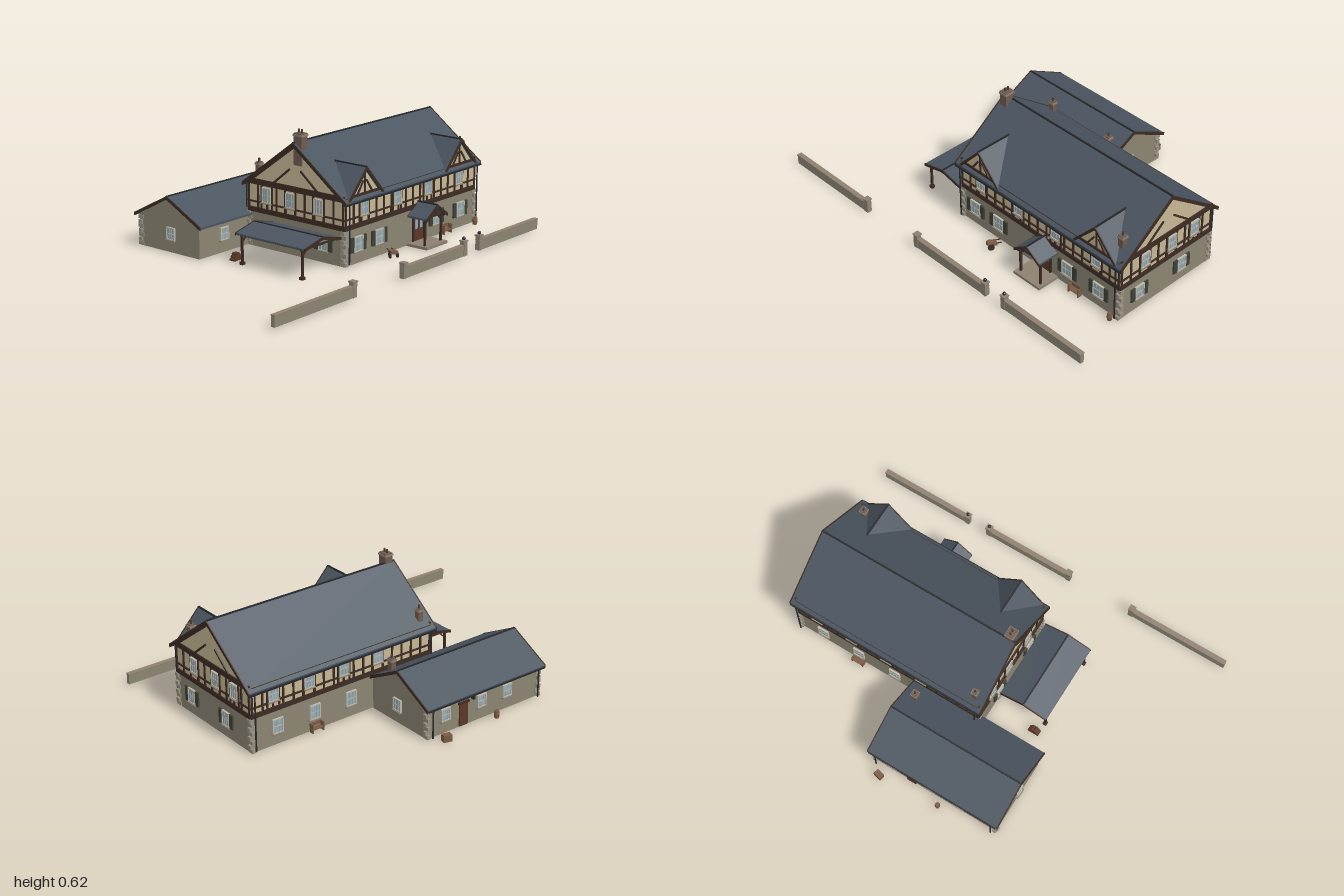
import * as THREE from 'three';

const mat = (color, extra = {}) => new THREE.MeshStandardMaterial({ color, flatShading: true, ...extra });
const M = {
  stone: mat(0x8b8473), quoin: mat(0x969080), plaster: mat(0xc6b795), timber: mat(0x3d2c24),
  roof: mat(0x4b5560), dark: mat(0x26282c), glass: mat(0x8fa9b8), frame: mat(0xbdb8a8),
  shutter: mat(0x3e4036), brick: mat(0x6e5b50), cap: mat(0x8f8070), door: mat(0x5a3828),
  wood: mat(0x7a5a42), floor: mat(0x3a2c22), slab: mat(0x4a4a48), clay: mat(0x4a3a34),
};

function add(parent, name, geo, material, x = 0, y = 0, z = 0) {
  const m = new THREE.Mesh(geo, material);
  m.name = name;
  m.position.set(x, y, z);
  parent.add(m);
  return m;
}
const box = (p, name, m, w, h, d, x, y, z) => add(p, name, new THREE.BoxGeometry(w, h, d), m, x, y, z);
const cyl = (p, name, m, r, h, x, y, z, n = 8) => add(p, name, new THREE.CylinderGeometry(r, r, h, n), m, x, y, z);
function group(parent, name, x = 0, y = 0, z = 0, ry = 0) {
  const g = new THREE.Group();
  g.name = name;
  g.position.set(x, y, z);
  g.rotation.y = ry;
  parent.add(g);
  return g;
}

// Prism along local z, centred, from a list of [x, y] points
function prism(p, name, m, pts, len, z = 0) {
  const shape = new THREE.Shape(pts.map(([x, y]) => new THREE.Vector2(x, y)));
  const geo = new THREE.ExtrudeGeometry(shape, { depth: len, bevelEnabled: false });
  return add(p, name, geo, m, 0, 0, z - len / 2);
}

// Gabled roof with dark verge boards and ridge, running along local z
function gableRoof(p, name, half, apex, eave, len, t = 0.014, verge = 0.006, frontOnly = false) {
  const chevron = (h, a, e, th) => [[-h, e], [0, a], [h, e], [h, e - th], [0, a - th], [-h, e - th]];
  const g = group(p, name);
  prism(g, 'slates', M.roof, chevron(half, apex, eave, t), len);
  for (const s of frontOnly ? [1] : [-1, 1])
    prism(g, 'vergeBoard', M.timber, chevron(half + 0.001, apex + 0.002, eave + 0.002, t + 0.006), verge, s * len / 2);
  box(g, 'ridge', M.dark, 0.008, 0.006, len, 0, apex, 0);
  return g;
}

// Wall items: local x along the wall, local +z outwards
function bar(p, u1, y1, u2, y2, w = 0.012) {
  const b = box(p, 'timber', M.timber, Math.hypot(u2 - u1, y2 - y1), w, 0.008, (u1 + u2) / 2, (y1 + y2) / 2, 0.002);
  b.rotation.z = Math.atan2(y2 - y1, u2 - u1);
}
function windowAt(p, u, y, w = 0.052, h = 0.07, shutters = false) {
  const g = group(p, 'window', u, y, 0);
  box(g, 'glass', M.glass, w, h, 0.008, 0, 0, 0.002);
  for (const s of [-1, 1]) {
    box(g, 'jamb', M.frame, 0.005, h + 0.005, 0.014, s * w / 2, 0, 0.003);
    box(g, 'rail', M.frame, w + 0.005, 0.005, 0.014, 0, s * h / 2, 0.003);
    box(g, 'glazingBar', M.frame, 0.002, h, 0.01, s * w / 6, 0, 0.003);
    if (shutters) box(g, 'shutter', M.shutter, 0.024, h + 0.004, 0.01, s * (w / 2 + 0.016), 0, 0.003);
  }
  box(g, 'middleBar', M.frame, w, 0.003, 0.01, 0, 0, 0.003);
  box(g, 'sill', M.cap, w + 0.012, 0.005, 0.02, 0, -h / 2 - 0.004, 0.005);
}

// Half-timbered upper storey for one wall
function timberWall(p, half, windows) {
  bar(p, -half, 0.19, half, 0.19, 0.024);
  bar(p, -half, 0.23, half, 0.23, 0.008);
  bar(p, -half, 0.325, half, 0.325, 0.018);
  const n = Math.round(2 * half / 0.058);
  for (let i = 0; i <= n; i++) {
    const u = -half + 0.006 + (2 * half - 0.012) * i / n;
    const clear = windows.every(w => Math.abs(w - u) > 0.03);
    bar(p, u, 0.19, u, clear ? 0.325 : 0.235, 0.009);
  }
  for (const w of windows) {
    windowAt(p, w, 0.27);
    for (const s of [-1, 1]) bar(p, w + s * 0.033, 0.2, w + s * 0.033, 0.32, 0.008);
  }
}

function quoins(p, x, z, top) {
  for (let i = 0, y = 0.015; y < top - 0.01; y += 0.022, i++)
    box(p, 'quoin', M.quoin, i % 2 ? 0.034 : 0.02, 0.018, i % 2 ? 0.02 : 0.034, x, y, z);
}
function chimney(p, x, z, bottom, top, w, d, pots) {
  const g = group(p, 'chimney', x, 0, z);
  box(g, 'stack', M.brick, w, top - bottom, d, 0, (top + bottom) / 2, 0);
  box(g, 'crown', M.cap, w + 0.006, 0.01, d + 0.006, 0, top - 0.01, 0);
  for (let i = 0; i < pots; i++) cyl(g, 'pot', M.clay, 0.005, 0.02, 0, top + 0.008, (i - (pots - 1) / 2) * 0.018);
}
function bench(p, u) {
  const g = group(p, 'bench', u, 0, 0.02);
  box(g, 'seat', M.wood, 0.07, 0.005, 0.024, 0, 0.024, 0);
  box(g, 'back', M.wood, 0.07, 0.018, 0.004, 0, 0.042, -0.012);
  for (const s of [-1, 1]) box(g, 'leg', M.wood, 0.005, 0.05, 0.024, s * 0.03, 0.027, 0).scale.y = 0.9;
}
function barrel(p, x, z, h = 0.04) {
  const pts = [[0, 0], [0.011, 0], [0.014, h / 2], [0.011, h], [0, h]].map(a => new THREE.Vector2(...a));
  add(p, 'barrel', new THREE.LatheGeometry(pts, 10), M.wood, x, 0.003, z);
}

export function createModel() {
  const root = new THREE.Group();
  root.name = 'timberFramedInn';

  // Main house: stone below, plaster and timber above
  const house = group(root, 'mainHouse', 0.3925, 0, 0.07);
  const HX = 0.5225, HZ = 0.3;
  box(house, 'stoneStorey', M.stone, HX * 2, 0.176, HZ * 2, 0, 0.092, 0);
  box(house, 'floor', M.floor, HX * 2 - 0.04, 0.01, HZ * 2 - 0.04, 0, 0.005, 0);
  const along = group(house, 'upperHouse', 0, 0, 0, Math.PI / 2);
  prism(along, 'plasterStorey', M.plaster, [[-HZ, 0.18], [HZ, 0.18], [HZ, 0.325], [0, 0.549], [-HZ, 0.325]], HX * 2);
  gableRoof(along, 'mainRoof', 0.322, 0.56, 0.32, 1.085);
  for (const sx of [-1, 1]) for (const sz of [-1, 1]) {
    quoins(house, sx * (HX - 0.006), sz * (HZ - 0.006), 0.18);
    cyl(house, 'downpipe', M.dark, 0.004, 0.29, sx * (HX - 0.01), 0.165, sz * 0.322, 6);
  }
  for (const s of [-1, 1]) box(house, 'gutter', M.dark, 1.08, 0.008, 0.01, 0, 0.309, s * 0.324);

  const front = group(house, 'frontWall', 0, 0, HZ);
  const back = group(house, 'backWall', 0, 0, -HZ, Math.PI);
  const sides = [1, -1].map(s => group(house, s > 0 ? 'leftGable' : 'rightGable', s * HX, 0, 0, s * Math.PI / 2));
  timberWall(front, HX, [-0.3825, -0.1275, 0.1175, 0.3775]);
  timberWall(back, HX, [-0.4, -0.2, 0, 0.2]);
  for (const u of [-0.425, -0.265, 0.195, 0.395]) windowAt(front, u, 0.1, 0.062, 0.07, true);
  for (const u of [-0.38, -0.17, 0.04]) windowAt(back, u, 0.1, 0.055);
  bench(front, 0.26);
  bench(back, -0.17);
  sides.forEach((w, i) => {
    const s = i ? -1 : 1;
    timberWall(w, HZ, [-0.145, 0.03, 0.18].map(u => u * s));
    for (const u of [-0.175, 0.105]) windowAt(w, u * s, 0.1, 0.052, 0.07, true);
    // Gable framing
    bar(w, -HZ, 0.335, HZ, 0.335, 0.018);
    for (const k of [-1, 1]) {
      bar(w, k * 0.135, 0.342, k * 0.033, 0.425, 0.009);
      bar(w, k * HZ, 0.322, 0, 0.542, 0.012);
    }
  });

  // Front dormer gables
  for (const x of [0.01, 0.77]) {
    const d = group(root, 'dormer', x, 0, 0.288);
    prism(d, 'dormerGable', M.plaster, [[-0.115, 0.325], [0.115, 0.325], [0, 0.452]], 0.172);
    gableRoof(d, 'dormerRoof', 0.132, 0.466, 0.322, 0.2, 0.012, 0.006, true);
    const face = group(d, 'dormerFraming', 0, 0, 0.086);
    bar(face, -0.11, 0.337, 0.11, 0.337, 0.012);
    bar(face, 0, 0.34, 0, 0.44, 0.008);
    for (const s of [-1, 1]) bar(face, s * 0.055, 0.34, s * 0.012, 0.4, 0.008);
  }

  // Entrance porch
  const porch = group(root, 'porch', 0.4375, 0, 0.428);
  gableRoof(porch, 'porchRoof', 0.082, 0.212, 0.155, 0.12, 0.01, 0.005);
  box(porch, 'step', M.cap, 0.17, 0.014, 0.125, 0, 0.008, 0);
  for (const s of [-1, 1]) {
    box(porch, 'post', M.timber, 0.01, 0.14, 0.01, s * 0.065, 0.08, 0.035);
    box(porch, 'sideBeam', M.timber, 0.01, 0.01, 0.11, s * 0.065, 0.15, 0);
    const brace = box(porch, 'brace', M.timber, 0.04, 0.007, 0.007, s * 0.052, 0.137, 0.035);
    brace.rotation.z = -s * 0.8;
    box(porch, 'doorLeaf', M.door, 0.036, 0.12, 0.008, s * 0.019, 0.075, -0.055);
    box(porch, 'doorPane', M.glass, 0.02, 0.05, 0.01, s * 0.019, 0.1, -0.055);
    box(porch, 'doorJamb', M.timber, 0.007, 0.13, 0.014, s * 0.042, 0.08, -0.055);
  }
  box(porch, 'crossBeam', M.timber, 0.15, 0.01, 0.01, 0, 0.153, 0.035);
  box(porch, 'kingPost', M.timber, 0.008, 0.045, 0.008, 0, 0.178, 0.035);

  // Rear wing
  const wing = group(root, 'rearWing', -0.1275, 0, -0.43);
  const WX = 0.3475, WZ = 0.196;
  const wingAlong = group(wing, 'wingBody', 0, 0, 0, Math.PI / 2);
  prism(wingAlong, 'wingWalls', M.stone, [[-WZ, 0.004], [WZ, 0.004], [WZ, 0.17], [0, 0.274], [-WZ, 0.17]], WX * 2);
  gableRoof(wingAlong, 'wingRoof', 0.22, 0.283, 0.167, 0.73, 0.011, 0.005);
  box(wing, 'wingFloor', M.slab, WX * 2 - 0.04, 0.01, WZ * 2 - 0.04, 0, 0.005, 0);
  for (const sx of [-1, 1]) {
    quoins(wing, sx * (WX - 0.006), -WZ + 0.006, 0.165);
    cyl(wing, 'downpipe', M.dark, 0.004, 0.15, sx * (WX - 0.02), 0.085, -0.216, 6);
    const end = group(wing, 'wingGable', sx * WX, 0, 0, sx * Math.PI / 2);
    windowAt(end, -sx * 0.012, 0.098, 0.05, 0.058);
  }
  box(wing, 'gutter', M.dark, 0.72, 0.007, 0.008, 0, 0.158, -0.221);
  windowAt(group(wing, 'wingFront', 0, 0, WZ), -0.178, 0.098, 0.052, 0.06);
  const wingBack = group(wing, 'wingBack', 0, 0, -WZ, Math.PI);
  for (const u of [-0.24, -0.02, 0.14]) windowAt(wingBack, u, 0.1, 0.05, 0.06);
  box(wingBack, 'backDoor', M.door, 0.05, 0.115, 0.01, -0.13, 0.065, 0.002);
  box(wingBack, 'doorLintel', M.timber, 0.064, 0.009, 0.014, -0.13, 0.127, 0.003);
  box(wingBack, 'lamp', M.dark, 0.01, 0.018, 0.02, -0.08, 0.14, 0.012);

  // Open cart shelter beside the house
  const shelter = group(root, 'cartShelter', -0.28, 0, 0.1525);
  gableRoof(shelter, 'shelterRoof', 0.13, 0.184, 0.154, 0.425, 0.008, 0.005);
  for (const sz of [-1, 1]) {
    const z = sz * 0.185;
    box(shelter, 'crossBeam', M.timber, 0.25, 0.009, 0.009, 0, 0.143, z);
    box(shelter, 'kingPost', M.timber, 0.007, 0.03, 0.007, 0, 0.16, z);
    box(shelter, 'post', M.timber, 0.01, 0.14, 0.01, -0.115, 0.074, z);
    box(shelter, 'footing', M.timber, 0.02, 0.014, 0.02, -0.115, 0.008, z);
    box(shelter, 'brace', M.timber, 0.05, 0.006, 0.006, -0.098, 0.126, z).rotation.z = 0.8;
  }
  for (const s of [-1, 1]) box(shelter, 'sideBeam', M.timber, 0.009, 0.009, 0.41, s * 0.117, 0.146, 0);

  // Chimneys
  chimney(root, -0.115, 0.088, 0.45, 0.605, 0.042, 0.05, 2);
  chimney(root, 0.865, 0.31, 0.33, 0.435, 0.03, 0.03, 1);
  chimney(root, -0.09, -0.195, 0.3, 0.418, 0.026, 0.026, 1);
  chimney(root, 0.175, -0.315, 0.18, 0.285, 0.028, 0.03, 1);

  // Boundary walls with end piers: [start, end, piers, finial]
  for (const [a, b, piers, finial] of [[-1, -0.45, [-0.464], null], [-0.11, 0.39, [-0.096, 0.376], 0.376], [0.49, 1, [0.504], 0.504]]) {
    const g = group(root, 'boundaryWall', 0, 0, 0.69);
    box(g, 'wall', M.stone, b - a, 0.05, 0.02, (a + b) / 2, 0.035, 0);
    box(g, 'coping', M.cap, b - a, 0.006, 0.026, (a + b) / 2, 0.062, 0);
    for (const x of piers) {
      box(g, 'pier', M.stone, 0.026, 0.07, 0.026, x, 0.045, 0);
      box(g, 'pierCap', M.cap, 0.032, 0.006, 0.032, x, 0.083, 0);
    }
    if (finial) add(g, 'finial', new THREE.SphereGeometry(0.009, 8, 6), M.dark, finial, 0.095, 0);
  }

  // Yard clutter
  barrel(root, -0.17, -0.67);
  barrel(root, 0.885, 0.4);
  box(root, 'crate', M.wood, 0.042, 0.034, 0.03, 0.155, 0.02, -0.69).rotation.y = -0.25;
  const cart = group(root, 'handcart', 0.15, 0, 0.44, -0.5);
  box(cart, 'bed', M.wood, 0.032, 0.014, 0.045, 0, 0.032, 0);
  for (const s of [-1, 1]) {
    cyl(cart, 'wheel', M.timber, 0.017, 0.004, s * 0.019, 0.02, 0.008, 12).rotation.z = Math.PI / 2;
    box(cart, 'handle', M.timber, 0.004, 0.004, 0.03, s * 0.012, 0.036, -0.03);
  }
  const logs = group(root, 'logPile', -0.37, 0, -0.095);
  for (let row = 0; row < 3; row++) for (let i = 0; i < 4 - row; i++)
    cyl(logs, 'log', M.door, 0.0075, 0.03, (i - (3 - row) / 2) * 0.015, 0.012 + row * 0.012, 0, 7).rotation.x = Math.PI / 2;
  return root;
}
